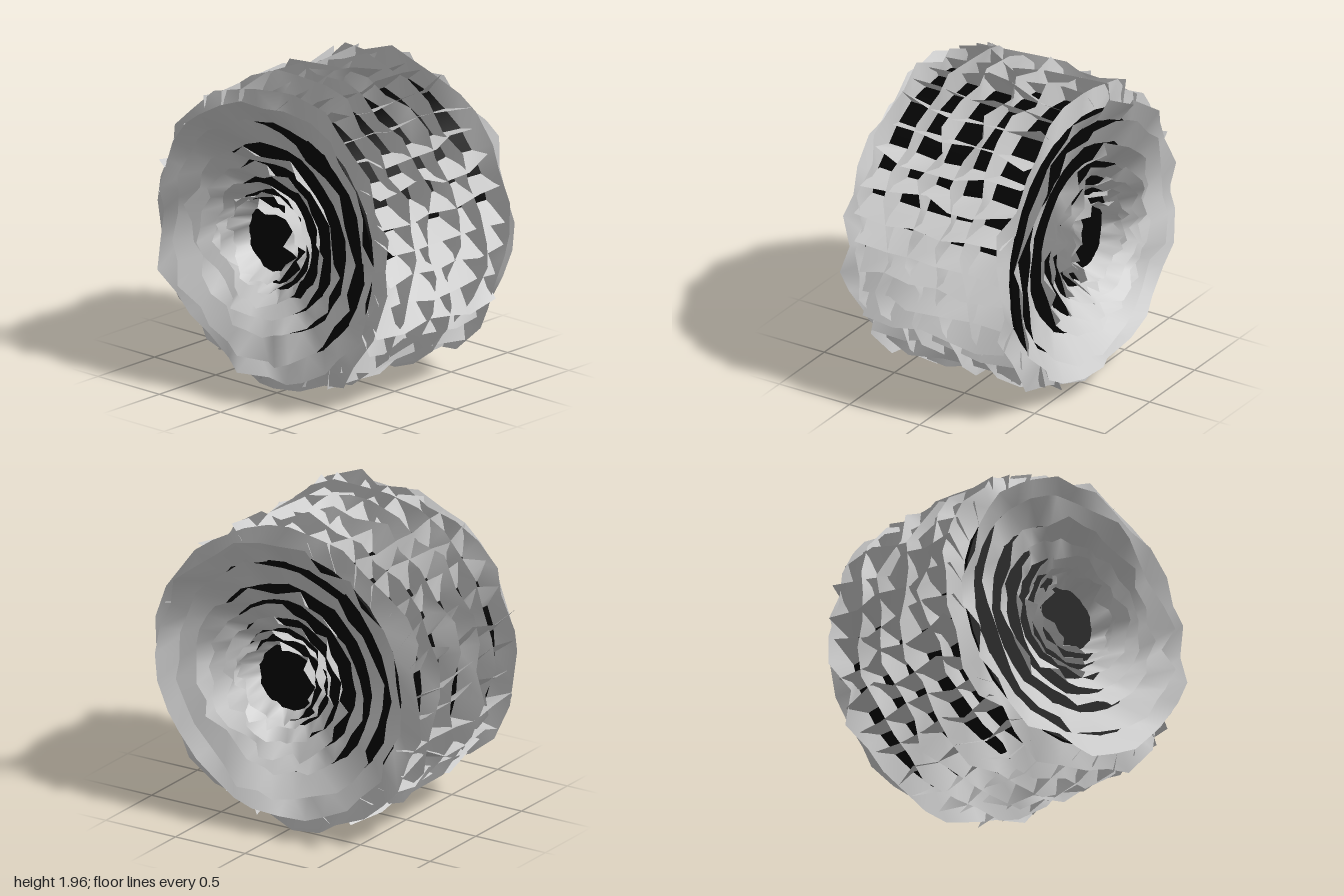
import * as THREE from 'three';
import { mergeGeometries } from 'three/addons/utils/BufferGeometryUtils.js';

const SEGMENTS = 32;
const CORE_RADIUS = 0.8;
const HALF_LENGTH = 0.53;

// Seeded noise in -1..1
let seed = 7;
function noise() {
  seed = (seed * 16807) % 2147483647;
  return (seed / 2147483647) * 2 - 1;
}

// Point around the x axis: angle 0 is the front, rising over the top
function polar(x, r, a) {
  return new THREE.Vector3(x, 1 + r * Math.sin(a), r * Math.cos(a));
}

// Strip of quads between an inner and an outer row of points
function strip(inner, outer, closed) {
  const n = inner.length;
  const index = [];
  for (let i = 0; i < (closed ? n : n - 1); i++) {
    const j = (i + 1) % n;
    index.push(i, j, n + j, i, n + j, n + i);
  }
  const geometry = new THREE.BufferGeometry().setFromPoints([...inner, ...outer]);
  geometry.setIndex(index);
  geometry.computeVertexNormals();
  return geometry;
}

// Closed ring from (x0, r0) to a ragged edge near (x1, r1)
function raggedRing(x0, r0, x1, r1, jitterX, jitterR, flip) {
  const inner = [], outer = [];
  for (let i = 0; i < SEGMENTS; i++) {
    const a = (i / SEGMENTS) * Math.PI * 2;
    inner.push(polar(x0 + noise() * 0.006, r0 + noise() * 0.012, a));
    outer.push(polar(x1 + noise() * jitterX, r1 + noise() * jitterR, a + noise() * 0.03));
  }
  if (flip) {
    inner.reverse();
    outer.reverse();
  }
  return strip(inner, outer, true);
}

export function createModel() {
  const group = new THREE.Group();
  const straw = new THREE.MeshStandardMaterial({ color: 0xcccccc, side: THREE.DoubleSide });
  const dark = new THREE.MeshStandardMaterial({ color: 0x030303 });

  function add(name, geometry, material) {
    const mesh = new THREE.Mesh(geometry, material);
    mesh.name = name;
    group.add(mesh);
  }

  // Dark core lying along x
  const core = new THREE.CylinderGeometry(CORE_RADIUS, CORE_RADIUS, HALF_LENGTH * 2, SEGMENTS);
  core.rotateZ(Math.PI / 2).translate(0, 1, 0);
  add('core', core, dark);

  // Lengthwise straw flaps, free edges pointing down at the front
  const columns = [-0.51, -0.31, -0.11, 0.09, 0.29, 0.51];
  const flaps = [];
  for (let i = 0; i < SEGMENTS; i++) {
    const a = (i / SEGMENTS) * Math.PI * 2 + 0.02;
    const root = [], tip = [];
    for (const x of columns) {
      root.push(polar(x, CORE_RADIUS - 0.005, a + noise() * 0.015));
      tip.push(polar(x + noise() * 0.03, 0.94 + noise() * 0.045, a - 0.125 + noise() * 0.05));
    }
    flaps.push(strip(tip, root, false));
  }
  add('strawFlaps', mergeGeometries(flaps), straw);

  // Upright straw rings crossing the flaps
  const fins = columns.map((x) =>
    raggedRing(x, CORE_RADIUS - 0.005, x, 0.95, 0.05, 0.045, false));
  add('strawFins', mergeGeometries(fins), straw);

  // Dished straw layers on both ends: root radius, tip radius, tip x
  const layers = [
    [0.2, 0.25, 0.64], [0.27, 0.305, 0.64], [0.31, 0.385, 0.64], [0.38, 0.48, 0.64],
    [0.48, 0.585, 0.64], [0.59, 0.745, 0.64], [0.73, 0.87, 0.62],
  ];
  for (const side of [1, -1]) {
    const rings = layers.map(([r0, r1, x]) =>
      raggedRing(side * HALF_LENGTH, r0, side * x, r1, 0.06, 0.025, side > 0));
    add(side > 0 ? 'leftEndLayers' : 'rightEndLayers', mergeGeometries(rings), straw);
  }

  return group;
}
